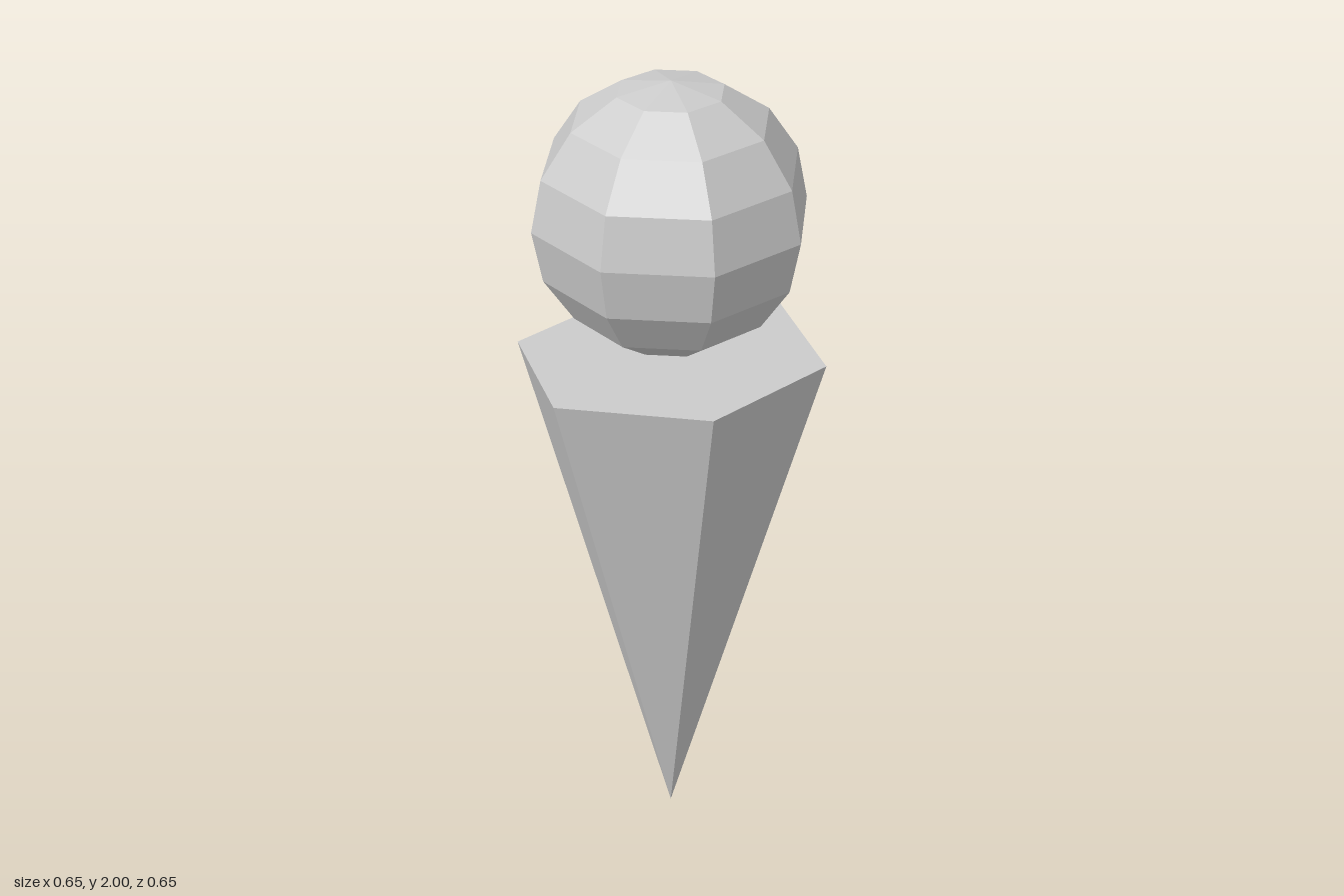
import * as THREE from 'three';

export function createModel() {
  const model = new THREE.Group();
  const material = new THREE.MeshStandardMaterial({ color: 0xcccccc, flatShading: true });
  const radius = 0.327;
  const coneHeight = 1.312;

  // Six-sided cone, point down, widened so its flat sides reach the full radius in x
  const coneGeometry = new THREE.ConeGeometry(radius, coneHeight, 6);
  coneGeometry.rotateX(Math.PI);
  coneGeometry.scale(1 / Math.cos(Math.PI / 6), 1, 1);
  const cone = new THREE.Mesh(coneGeometry, material);
  cone.name = 'cone';
  cone.position.y = coneHeight / 2;
  model.add(cone);

  // Faceted ball floating just above the rim
  const ball = new THREE.Mesh(new THREE.SphereGeometry(radius, 8, 8), material);
  ball.name = 'ball';
  ball.position.y = 2 - radius;
  model.add(ball);

  return model;
}
